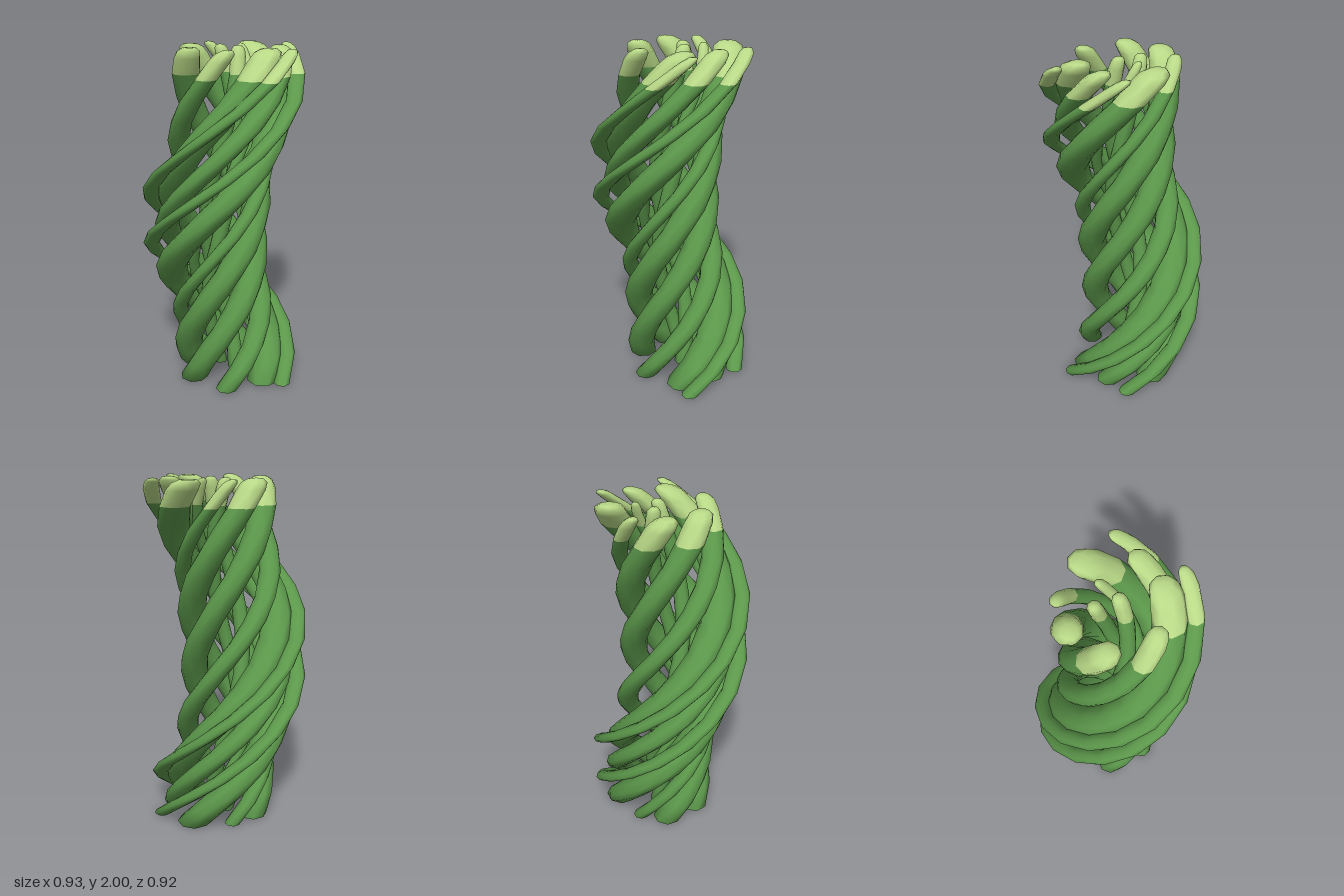
import * as THREE from 'three';
import { mergeVertices } from 'three/addons/utils/BufferGeometryUtils.js';

const HEIGHT = 2, TIP_Y = 1.85, SIDES = 8, RINGS = 15;
const TWIST = Math.PI; // radians per unit of height: one full turn in all

// Each stem: distance from the axis, angle at the top in degrees (+x towards +z), radius
const STEMS = [
  [0.205, 234, 0.077], [0.196, 172, 0.073], [0.243, 105, 0.058],
  [0.286, 51, 0.084], [0.32, 14.5, 0.066], [0.415, -6, 0.044],
  [0.412, 49, 0.044], [0.301, -36.5, 0.086], [0.255, 275, 0.042],
  [0.082, -73, 0.04], [0.167, -28, 0.029], [0.09, 18, 0.042],
];

// Lathe an upright stem piece, set it off the axis, then twist it about y
function twisted(profile, dist, angle) {
  let geo = new THREE.LatheGeometry(profile, SIDES);
  geo.deleteAttribute('uv');
  geo.deleteAttribute('normal');
  const pos = geo.attributes.position;
  for (let i = 0; i < pos.count; i++) {
    const x = pos.getX(i) + dist, y = pos.getY(i), z = pos.getZ(i);
    const a = angle + TWIST * (HEIGHT - y);
    const c = Math.cos(a), s = Math.sin(a);
    pos.setXYZ(i, x * c - z * s, y, x * s + z * c);
  }
  geo = mergeVertices(geo, 1e-4);
  geo.computeVertexNormals();
  return geo;
}

export function createModel() {
  const model = new THREE.Group();
  model.name = 'twistedStems';
  const green = new THREE.MeshStandardMaterial({ color: 0x5c984b });
  const pale = new THREE.MeshStandardMaterial({ color: 0xb9d987 });

  STEMS.forEach(([dist, degrees, radius]) => {
    const angle = THREE.MathUtils.degToRad(degrees);
    const stem = new THREE.Group();
    stem.name = 'stem';

    // Body: closed at the foot, slightly thinner towards the tip
    const body = [new THREE.Vector2(0, 0)];
    for (let i = 0; i <= RINGS; i++) {
      const t = i / RINGS;
      body.push(new THREE.Vector2(radius * (1.15 - 0.11 * t), TIP_Y * t));
    }
    const bodyMesh = new THREE.Mesh(twisted(body, dist, angle), green);
    bodyMesh.name = 'stemBody';

    // Tip: full, rounded end
    const tip = [[1.04, TIP_Y], [1.02, 1.94], [0.9, 1.978], [0.55, 1.996], [0, HEIGHT]]
      .map(([k, y]) => new THREE.Vector2(radius * k, y));
    const tipMesh = new THREE.Mesh(twisted(tip, dist, angle), pale);
    tipMesh.name = 'stemTip';

    stem.add(bodyMesh, tipMesh);
    model.add(stem);
  });
  return model;
}
